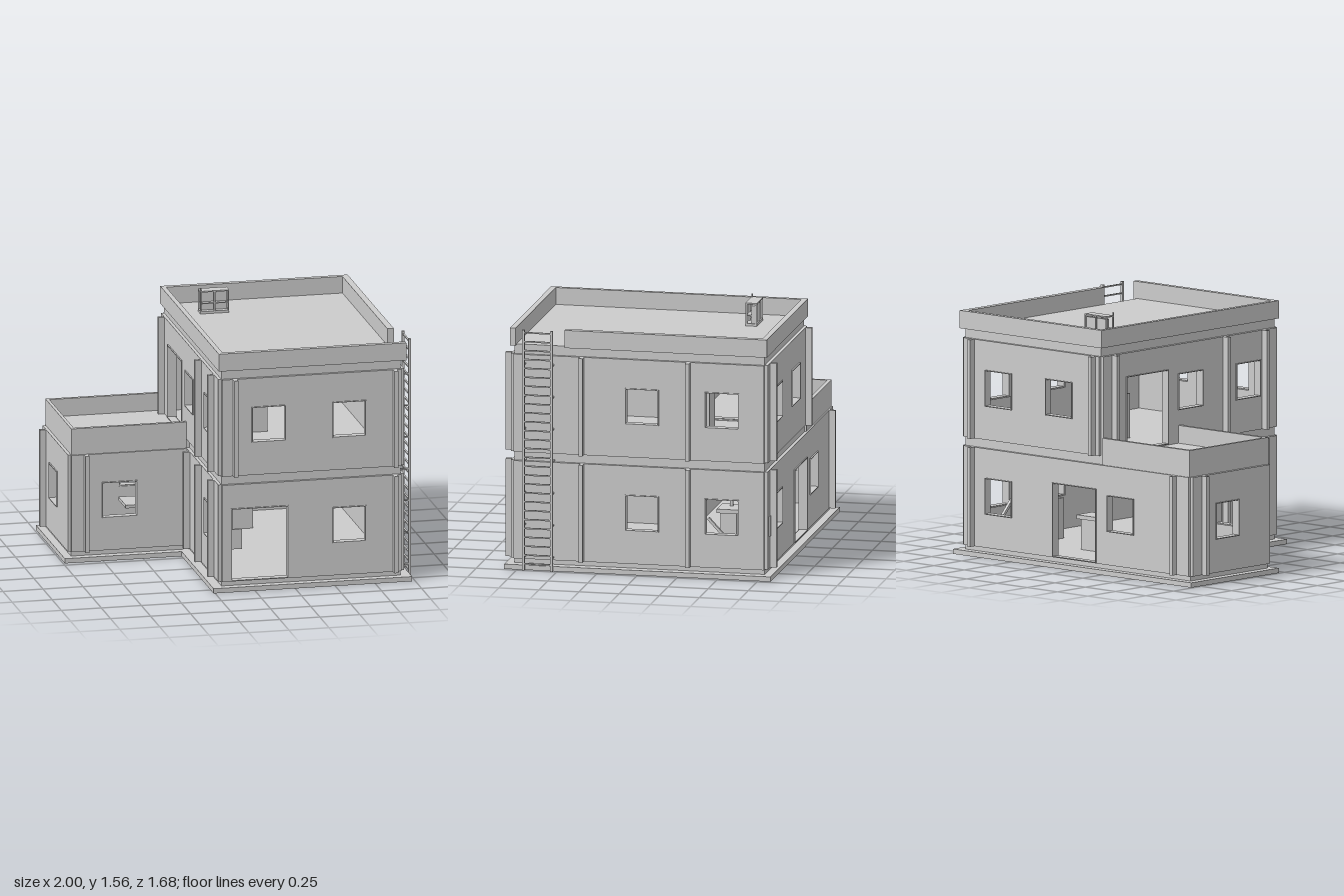
import * as THREE from 'three';

const T = 0.05; // wall thickness

export function createModel() {
  const model = new THREE.Group();
  model.name = 'building';
  const concrete = new THREE.MeshStandardMaterial({ color: 0xcccccc });
  concrete.name = 'concrete grey';

  const add = (name, geo) => {
    const mesh = new THREE.Mesh(geo, concrete);
    mesh.name = name;
    model.add(mesh);
    return mesh;
  };
  // Box from its limits on each axis
  const box = (name, x0, x1, y0, y1, z0, z1) => {
    const g = new THREE.BoxGeometry(x1 - x0, y1 - y0, z1 - z0);
    g.translate((x0 + x1) / 2, (y0 + y1) / 2, (z0 + z1) / 2);
    return add(name, g);
  };
  const rect = (P, a, b, c, d) => {
    const p = new P();
    p.moveTo(a, c);
    p.lineTo(b, c);
    p.lineTo(b, d);
    p.lineTo(a, d);
    p.closePath();
    return p;
  };
  // Plate with rectangular holes; axis is the way it faces, dir its sign
  const plate = (name, axis, dir, face, depth, outer, holes) => {
    const shape = rect(THREE.Shape, ...outer);
    holes.forEach((h) => shape.holes.push(rect(THREE.Path, ...h)));
    const g = new THREE.ExtrudeGeometry(shape, { depth, bevelEnabled: false });
    if (axis === 'z') {
      g.translate(0, 0, dir > 0 ? face - depth : face);
    } else {
      g.rotateY(-Math.PI / 2);
      g.translate(dir > 0 ? face : face + depth, 0, 0);
    }
    return add(name, g);
  };

  // Wall panel with framed openings and projecting ribs
  const wall = (name, axis, dir, face, u0, u1, y0, y1, openings, ribs) => {
    plate(name, axis, dir, face, T, [u0, u1, y0, y1], openings);
    openings.forEach(([a, b, c, d]) => {
      const e = 0.005;
      plate(name + 'Frame', axis, dir, face + dir * 0.008, T,
        [a, b, c, d], [[a + e, b - e, c + e, d - e]]);
    });
    ribs.forEach((u) => {
      const p = [face - dir * 0.01, face + dir * 0.04].sort((a, b) => a - b);
      if (axis === 'z') box(name + 'Rib', u - 0.0125, u + 0.0125, y0, y1, ...p);
      else box(name + 'Rib', ...p, y0, y1, u - 0.0125, u + 0.0125);
    });
  };

  // L-shaped plinth and floor slabs
  const plinth = new THREE.Shape([
    [-0.99, 0.83], [-0.99, 0.04], [-0.26, 0.04], [-0.26, -0.83], [0.98, -0.83], [0.98, 0.83],
  ].map((p) => new THREE.Vector2(...p)));
  const plinthGeo = new THREE.ExtrudeGeometry(plinth, { depth: 0.03, bevelEnabled: false });
  plinthGeo.rotateX(-Math.PI / 2);
  add('plinth', plinthGeo);
  [['groundFloor', 0.03, 0.06], ['middleFloor', 0.67, 0.725], ['roofSlab', 1.335, 1.395]].forEach(([n, a, b]) =>
    box(n, -0.2, 0.92, a, b, -0.78, 0.78));
  box('wingFloor', -0.94, -0.2, 0.03, 0.06, -0.78, -0.09);
  box('wingRoof', -0.94, -0.2, 0.67, 0.725, -0.78, -0.09);

  // Storeys
  const lo = [0.06, 0.67], up = [0.725, 1.335];
  const win = (a, b, upper) => (upper ? [a, b, 0.93, 1.155] : [a, b, 0.265, 0.49]);
  const door = (a, b, upper) => (upper ? [a, b, 0.73, 1.19] : [a, b, 0.063, 0.52]);

  wall('lowerFrontWall', 'z', 1, 0.8, -0.2, 0.92, ...lo, [door(-0.145, 0.215), win(0.49, 0.7)], [0.88]);
  wall('upperFrontWall', 'z', 1, 0.8, -0.2, 0.92, ...up, [win(-0.015, 0.2, 1), win(0.49, 0.7, 1)], [-0.12, 0.88]);
  wall('lowerBackWall', 'z', -1, -0.8, -0.94, 0.92, ...lo,
    [win(-0.49, -0.27), door(-0.18, 0.18), win(0.52, 0.74)], [-0.83, 0.84]);
  wall('upperBackWall', 'z', -1, -0.8, -0.2, 0.92, ...up, [win(0.02, 0.24, 1), win(0.52, 0.74, 1)], [-0.16, 0.84]);
  [0, 1].forEach((u) => wall(u ? 'upperRightWall' : 'lowerRightWall', 'x', 1, 0.94, -0.78, 0.78, ...(u ? up : lo),
    [win(-0.625, -0.41, u), win(-0.125, 0.085, u)], [-0.31, 0.355]));
  wall('lowerLeftWall', 'x', -1, -0.22, -0.09, 0.78, ...lo, [win(0.41, 0.625)], [0, 0.31, 0.66]);
  wall('upperLeftWall', 'x', -1, -0.22, -0.78, 0.78, ...up,
    [door(-0.58, -0.2, 1), win(-0.11, 0.11, 1), win(0.41, 0.63, 1)], [-0.69, 0.31, 0.66]);
  wall('wingFrontWall', 'z', 1, -0.07, -0.94, -0.2, ...lo, [win(-0.75, -0.53)], [-0.85]);
  wall('wingLeftWall', 'x', -1, -0.96, -0.78, -0.09, ...lo, [win(-0.58, -0.37)], [-0.69]);

  // Parapets, with a gap for the ladder
  const p0 = 1.39, p1 = 1.5;
  box('frontParapet', -0.22, 0.95, p0, p1, 0.765, 0.8);
  box('backParapet', -0.22, 0.95, p0, p1, -0.8, -0.765);
  box('leftParapet', -0.22, -0.19, p0, p1, -0.765, 0.765);
  box('rightParapet', 0.91, 0.95, p0, p1, -0.765, 0.46);
  box('wingFrontParapet', -0.94, -0.22, 0.67, 0.835, -0.105, -0.08);
  box('wingBackParapet', -0.94, -0.22, 0.67, 0.835, -0.79, -0.765);
  box('wingLeftParapet', -0.94, -0.92, 0.67, 0.835, -0.765, -0.105);

  // Ladder
  [0.532, 0.708].forEach((z) => {
    box('ladderRail', 0.983, 1, 0, 1.5, z - 0.008, z + 0.008);
    for (let i = 0; i < 7; i++) {
      const y = 0.08 + i * 0.2;
      box('ladderBracket', 0.91, 0.985, y - 0.004, y + 0.004, z - 0.005, z + 0.005);
    }
  });
  for (let i = 0; i < 27; i++) {
    const y = 0.04 + i * 0.0555;
    box('ladderRung', 0.986, 0.997, y - 0.004, y + 0.004, 0.535, 0.705);
  }

  // Rooftop equipment cabinet with open bays and a rail
  box('cabinetBase', -0.04, 0.14, 1.395, 1.41, -0.56, -0.49);
  box('cabinetBack', -0.03, 0.135, 1.41, 1.52, -0.55, -0.525);
  box('cabinetShelf', -0.03, 0.135, 1.455, 1.462, -0.525, -0.495);
  box('cabinetTop', -0.04, 0.14, 1.53, 1.538, -0.56, -0.49);
  [-0.04, 0.045, 0.132].forEach((x) => {
    box('cabinetPost', x, x + 0.008, 1.41, 1.535, -0.5, -0.49);
    box('cabinetRearPost', x, x + 0.008, 1.41, 1.535, -0.56, -0.55);
  });
  box('cabinetMast', -0.04, -0.032, 1.53, 1.557, -0.497, -0.49);

  // Wall boxes and furniture seen through the openings
  box('doorwayBox', -0.145, -0.075, 0.26, 0.385, 0.775, 0.79);
  box('backWallBox', 0.86, 0.88, 0.26, 0.385, -0.808, -0.795);
  box('counter', 0.13, 0.26, 0.06, 0.25, -0.46, -0.36);
  box('counterTop', 0.115, 0.28, 0.25, 0.275, -0.48, -0.34);
  box('counterItem', 0.16, 0.175, 0.275, 0.36, -0.42, -0.4);
  box('tableTop', -0.55, -0.3, 0.25, 0.27, -0.5, -0.3);
  box('tableLeg', -0.45, -0.4, 0.06, 0.25, -0.43, -0.38);
  box('lowerCabinet', 0.64, 0.72, 0.06, 0.31, -0.3, -0.2);
  box('upperCabinet', 0.14, 0.3, 0.725, 1.0, -0.3, -0.15);
  const plank = box('leaningPlank', -0.01, 0.01, -0.16, 0.16, -0.008, 0.008);
  plank.position.set(0.84, 0.23, -0.52);
  plank.rotation.x = 0.75;

  return model;
}
